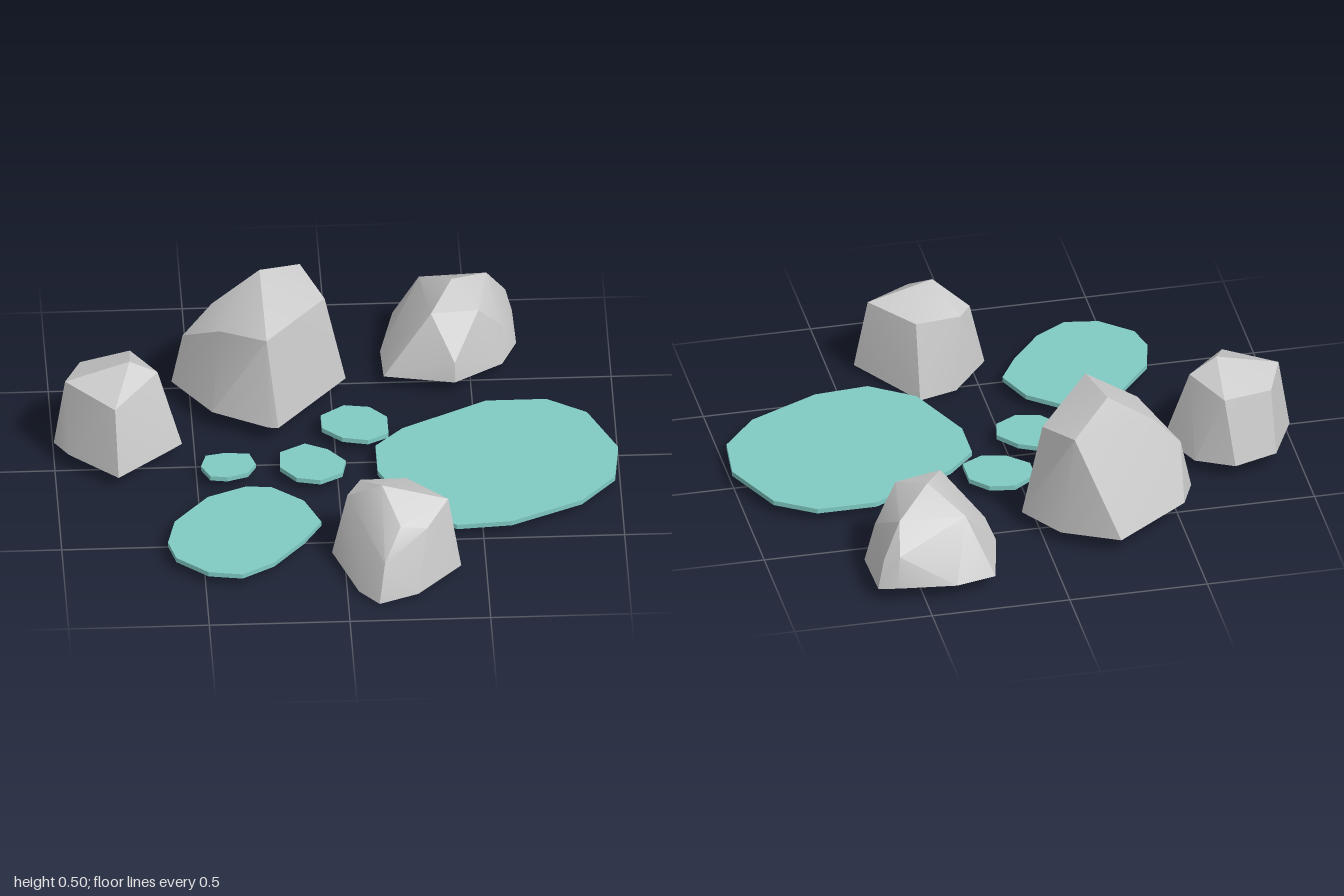
import * as THREE from 'three';
import { ConvexGeometry } from 'three/addons/geometries/ConvexGeometry.js';
import { toCreasedNormals } from 'three/addons/utils/BufferGeometryUtils.js';

const stone = new THREE.MeshStandardMaterial({ color: 0xcccccc });
const water = new THREE.MeshStandardMaterial({ color: 0x80cbc4 });

// Boulder: hull of a ground outline and the corners of its crown ([x, y, z])
function boulder(name, base, crown) {
  const points = [...base, ...crown].map(p => new THREE.Vector3(...p));
  const mesh = new THREE.Mesh(toCreasedNormals(new ConvexGeometry(points), 0.5), stone);
  mesh.name = name;
  return mesh;
}

// Thin flat slab from an [x, z] outline
function slab(name, outline) {
  const shape = new THREE.Shape(outline.map(([x, z]) => new THREE.Vector2(x, -z)));
  const geo = new THREE.ExtrudeGeometry(shape, { depth: 0.018, bevelEnabled: false });
  geo.rotateX(-Math.PI / 2).translate(0, 0.036, 0);
  const mesh = new THREE.Mesh(geo, water);
  mesh.name = name;
  return mesh;
}

export function createModel() {
  const group = new THREE.Group();
  group.name = 'rockPools';

  // Boulders
  group.add(
    boulder('rightBoulder',
      [[-1, 0.06, -0.09], [-0.95, 0.06, -0.01], [-0.78, 0.05, 0.13], [-0.59, 0.045, -0.04],
        [-0.545, 0.05, -0.075], [-0.62, 0.05, -0.25], [-0.75, 0.06, -0.335], [-0.91, 0.06, -0.28]],
      [[-0.96, 0.32, -0.09], [-0.79, 0.3, 0.07], [-0.63, 0.33, -0.12],
        [-0.73, 0.385, -0.11], [-0.9, 0.3, -0.24], [-0.72, 0.31, -0.29]]),
    boulder('tallBoulder',
      [[-0.565, 0.07, -0.44], [-0.43, 0.07, -0.24], [-0.235, 0.065, -0.14], [-0.2, 0.065, -0.135],
        [0.055, 0.05, -0.46], [-0.05, 0.05, -0.625], [-0.245, 0.06, -0.74], [-0.515, 0.07, -0.555]],
      [[-0.525, 0.26, -0.45], [-0.4, 0.375, -0.3], [-0.24, 0.415, -0.17], [-0.02, 0.395, -0.46],
        [-0.1, 0.43, -0.63], [-0.25, 0.505, -0.49], [-0.42, 0.38, -0.47]]),
    boulder('frontBoulder',
      [[-0.045, 0.03, 0.605], [0.04, 0.015, 0.835], [0.11, 0.01, 0.91], [0.25, 0.015, 0.86],
        [0.37, 0.02, 0.73], [0.41, 0.02, 0.695], [0.25, 0.01, 0.49], [0.225, 0, 0.44],
        [0.085, 0, 0.48]],
      [[0.01, 0.27, 0.6], [0.13, 0.355, 0.67], [0.365, 0.29, 0.67], [0.285, 0.24, 0.78],
        [0.19, 0.265, 0.8], [0.13, 0.16, 0.88], [0.225, 0.275, 0.51], [0.06, 0.28, 0.52]]),
    boulder('backBoulder',
      [[0.39, 0.06, -0.915], [0.6, 0.06, -0.89], [0.665, 0.05, -0.86], [0.67, 0.05, -0.655],
        [0.615, 0.04, -0.54], [0.44, 0.06, -0.4], [0.19, 0.05, -0.465],
        [0.185, 0.05, -0.625], [0.24, 0.05, -0.865]],
      [[0.36, 0.29, -0.5], [0.44, 0.335, -0.65], [0.53, 0.28, -0.53], [0.57, 0.27, -0.78],
        [0.33, 0.26, -0.78], [0.44, 0.14, -0.405], [0.64, 0.155, -0.84], [0.59, 0.18, -0.875],
        [0.62, 0.16, -0.6]]));

  // Flat pools
  group.add(
    slab('largePool', [[0.545, -0.29], [0.76, -0.29], [0.9, -0.2], [1, 0.025], [0.98, 0.21],
      [0.855, 0.355], [0.6, 0.475], [0.405, 0.49], [0.25, 0.385], [0.14, 0.135],
      [0.14, -0.025], [0.24, -0.13]]),
    slab('mediumPool', [[-0.33, 0.21], [-0.24, 0.22], [-0.13, 0.31], [-0.075, 0.445],
      [-0.14, 0.555], [-0.255, 0.695], [-0.37, 0.765], [-0.49, 0.745], [-0.6, 0.65],
      [-0.625, 0.55], [-0.595, 0.42], [-0.47, 0.27]]),
    slab('smallPoolBack', [[0.04, -0.285], [0.13, -0.27], [0.19, -0.205], [0.19, -0.1],
      [0.115, -0.06], [0.025, -0.08], [-0.045, -0.145], [-0.045, -0.225]]),
    slab('smallPoolMiddle', [[-0.11, -0.05], [-0.03, -0.01], [0.03, 0.065], [0.015, 0.14],
      [-0.065, 0.185], [-0.15, 0.165], [-0.205, 0.095], [-0.2, 0]]),
    slab('smallPoolRight', [[-0.395, -0.005], [-0.31, 0.005], [-0.29, 0.07], [-0.32, 0.125],
      [-0.395, 0.15], [-0.455, 0.14], [-0.485, 0.075], [-0.465, 0.01]]));

  return group;
}
